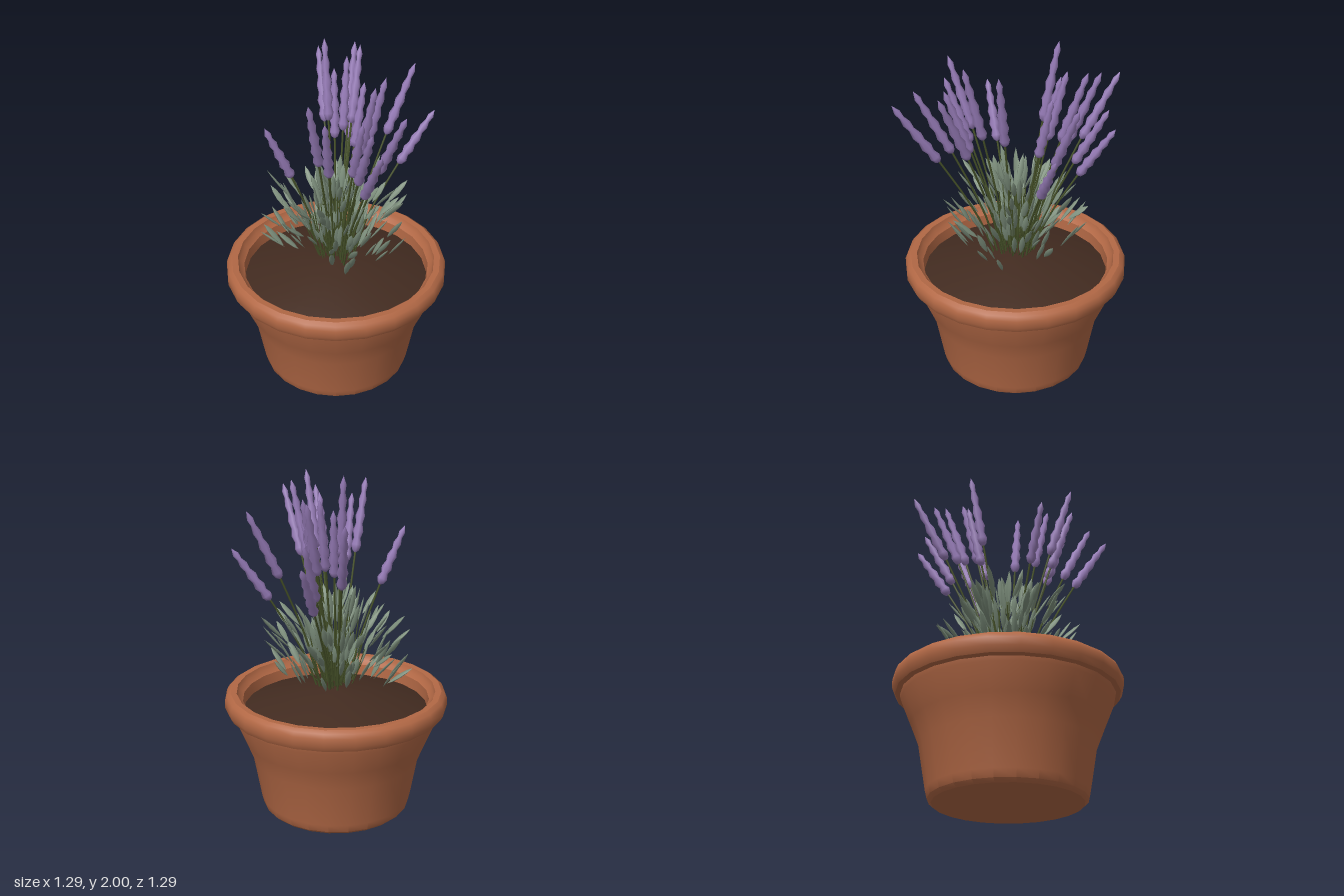
import * as THREE from 'three';
import { mergeGeometries, toCreasedNormals } from 'three/addons/utils/BufferGeometryUtils.js';

const material = (name, color) => {
  const m = new THREE.MeshStandardMaterial({ color });
  m.name = name;
  return m;
};

const lathe = (points, sides) =>
  new THREE.LatheGeometry(points.map(([x, y]) => new THREE.Vector2(x, y)), sides);

// Small seeded random generator
function seeded(seed) {
  return () => {
    seed = (seed * 16807) % 2147483647;
    return seed / 2147483647;
  };
}

export function createModel() {
  const terracotta = material('terracotta', 0xb26845);
  const earth = material('earth', 0x422b20);
  const stemGreen = material('stem green', 0x48542a);
  const leafGreen = material('sage leaf', 0x7f917e);
  const purple = material('lavender purple', 0x977cb8);
  const up = new THREE.Vector3(0, 1, 0);
  const rand = seeded(4711);

  const model = new THREE.Group();
  model.name = 'pottedLavender';
  const add = (name, geometry, mat, parent = model) => {
    const mesh = new THREE.Mesh(geometry, mat);
    mesh.name = name;
    parent.add(mesh);
    return mesh;
  };

  // Pot: tapered foot, flared wall, rolled rim and inner lip
  add('pot', toCreasedNormals(lathe([
    [0, 0.005], [0.41, 0.005], [0.432, 0.025], [0.443, 0.07], [0.487, 0.32],
    [0.535, 0.44], [0.593, 0.58], [0.598, 0.605], [0.625, 0.612], [0.643, 0.645],
    [0.643, 0.69], [0.632, 0.715], [0.61, 0.73], [0.575, 0.728], [0.565, 0.7],
    [0.54, 0.68], [0.53, 0.58],
  ], 24), 0.6), terracotta);

  // Soil: a shallow mound
  add('soil', lathe([[0.535, 0.615], [0.42, 0.655], [0.2, 0.715], [0, 0.735]], 24), earth);

  // Flower spikes, one tip position each
  const tips = [
    [0.33, 1.81, -0.475], [0.465, 1.57, -0.29], [0.43, 1.68, -0.27], [0.39, 1.89, -0.24],
    [0.36, 1.9, -0.17], [0.235, 1.88, -0.15], [0.165, 1.82, -0.18], [0.12, 2.0, -0.21],
    [0.245, 1.76, -0.025], [0.53, 1.82, 0.09], [0.525, 1.59, 0.25], [0.12, 1.92, 0.245],
    [-0.05, 1.95, 0.33], [-0.03, 1.845, 0.525], [-0.295, 1.76, 0.61], [-0.25, 1.82, 0.5],
    [-0.17, 1.8, 0.36], [-0.355, 1.895, 0.16], [-0.31, 1.8, 0.23], [-0.375, 1.66, -0.155],
  ];
  const spike = lathe([
    [0, 0], [0.02, 0.04], [0.03, 0.11], [0.02, 0.2], [0.031, 0.29], [0.02, 0.39],
    [0.028, 0.49], [0.016, 0.6], [0.023, 0.7], [0.013, 0.8], [0.018, 0.89], [0, 1],
  ], 7);
  const stems = [];
  const flowers = new THREE.Group();
  flowers.name = 'flowerSpikes';
  model.add(flowers);
  for (const [x, y, z] of tips) {
    // Stem leans out a little more with height
    const at = (t) => {
      const k = 0.2 + 0.8 * t ** 1.3;
      return new THREE.Vector3(x * k, 0.76 + (y - 0.76) * t, z * k);
    };
    const base = at(0.63), tip = at(1);
    const curve = new THREE.CatmullRomCurve3([at(0), at(0.2), at(0.4), at(0.66)]);
    stems.push(new THREE.TubeGeometry(curve, 6, 0.006, 5));
    const axis = tip.clone().sub(base);
    const flower = add('flowerSpike', spike, purple, flowers);
    flower.position.copy(base);
    flower.scale.y = axis.length();
    flower.quaternion.setFromUnitVectors(up, axis.normalize());
    flower.rotateY(rand() * 6);
  }

  // Leaves: slim pointed blades fanning outwards
  const blade = lathe([[0, 0], [0.012, 0.2], [0.019, 0.5], [0.014, 0.78], [0, 1]], 6);
  blade.scale(1, 1, 0.35);
  const leaves = [];
  for (let i = 0; i < 165; i++) {
    const azimuth = i * 2.39996 + rand() * 0.6;
    const r = 0.03 + 0.29 * rand();
    const height = 0.775 + rand() * (0.45 - 0.45 * r);
    const lean = (10 + 110 * r + 24 * (rand() - 0.5)) * Math.PI / 180;
    const length = 0.13 + 0.08 * rand();
    const out = new THREE.Vector3(Math.cos(azimuth), 0, Math.sin(azimuth));
    const dir = out.clone().multiplyScalar(Math.sin(lean)).addScaledVector(up, Math.cos(lean));
    const side = new THREE.Vector3().crossVectors(up, out);
    const base = out.clone().multiplyScalar(r).setY(height);
    const place = new THREE.Matrix4()
      .makeBasis(side, dir, new THREE.Vector3().crossVectors(side, dir))
      .setPosition(base);
    leaves.push(blade.clone()
      .scale(1, length, 1)
      .rotateY((rand() - 0.5) * 1.8)
      .applyMatrix4(place));
    // Thin twigs carry the inner leaves
    if (r < 0.17) {
      const root = out.clone().multiplyScalar(r * 0.65).setY(0.765);
      stems.push(new THREE.TubeGeometry(new THREE.LineCurve3(root, base.addScaledVector(dir, 0.02)), 1, 0.004, 4));
    }
  }
  add('leaves', mergeGeometries(leaves), leafGreen);
  add('stems', mergeGeometries(stems), stemGreen);

  return model;
}
